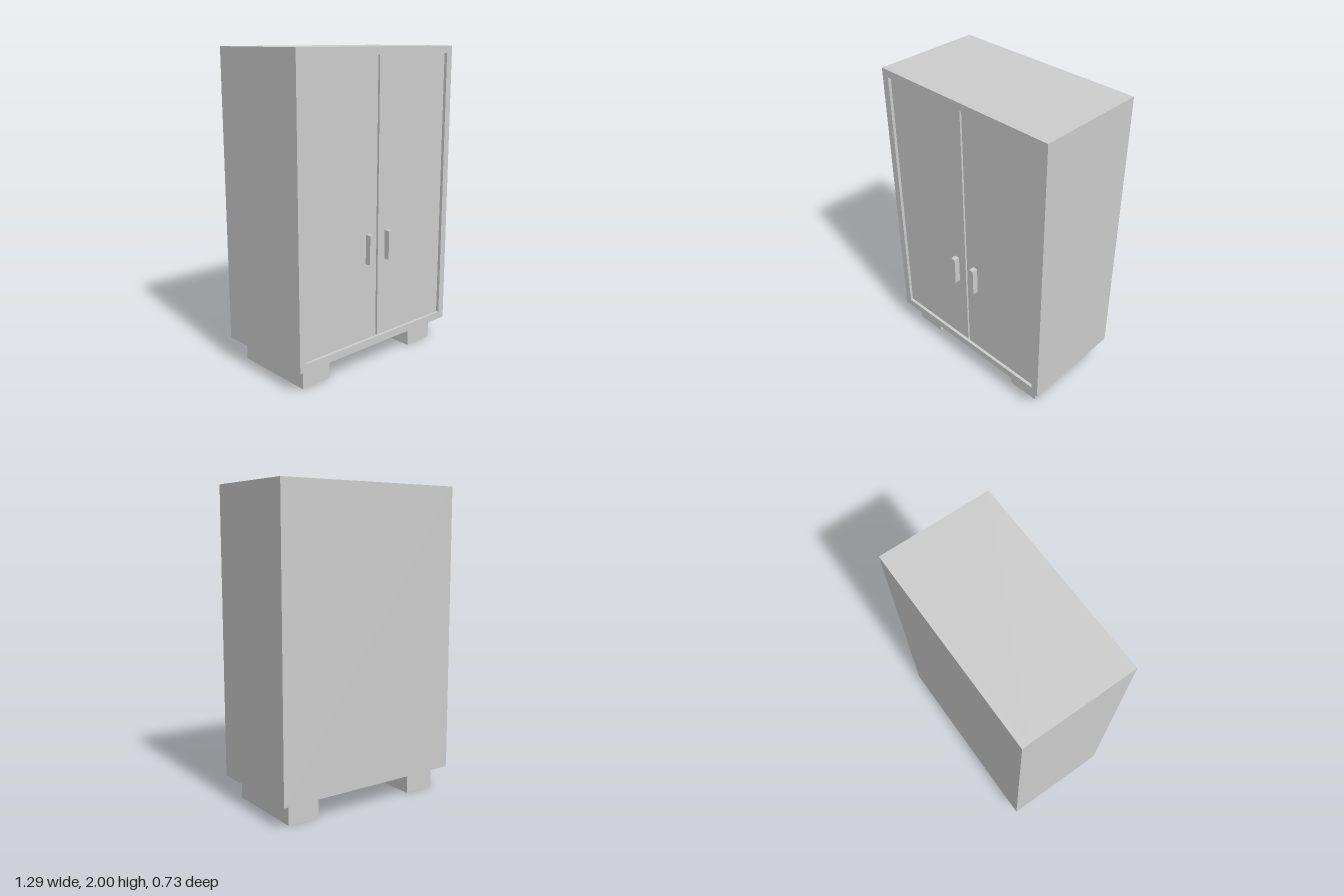
import * as THREE from 'three';

const material = new THREE.MeshStandardMaterial({ color: 0xcccccc, flatShading: true });

// Box given by its min and max corners
function box(name, [x0, y0, z0], [x1, y1, z1]) {
  const geometry = new THREE.BoxGeometry(x1 - x0, y1 - y0, z1 - z0);
  geometry.translate((x0 + x1) / 2, (y0 + y1) / 2, (z0 + z1) / 2);
  const mesh = new THREE.Mesh(geometry, material);
  mesh.name = name;
  return mesh;
}

function rectangle(path, x, y0, y1) {
  path.moveTo(-x, y0);
  path.lineTo(x, y0);
  path.lineTo(x, y1);
  path.lineTo(-x, y1);
  path.closePath();
  return path;
}

export function createModel() {
  const group = new THREE.Group();
  group.name = 'cabinet';

  const W = 0.643, H = 2, base = 0.147;       // carcass half width, top, underside
  const back = -0.364, front = 0.346;         // carcass depth
  const backThickness = 0.04;
  const inW = 0.595, inLow = 0.196, inHigh = 1.953; // door opening
  const doorFront = 0.326, doorBack = 0.29;

  // Carcass: top, bottom and sides as one hollow frame
  const outline = rectangle(new THREE.Shape(), W, base, H);
  outline.holes.push(rectangle(new THREE.Path(), inW, inLow, inHigh));
  const frameGeometry = new THREE.ExtrudeGeometry(outline, {
    depth: front - back - backThickness, bevelEnabled: false,
  });
  frameGeometry.translate(0, 0, back + backThickness);
  const frame = new THREE.Mesh(frameGeometry, material);
  frame.name = 'carcass';
  group.add(frame);

  group.add(box('backPanel', [-W, base, back], [W, H, back + backThickness]));

  // Doors, handles and feet, mirrored left and right
  for (const [side, s] of [['left', 1], ['right', -1]]) {
    const add = (part, xa, xb, y0, y1, z0, z1) => group.add(box(
      side + part,
      [Math.min(s * xa, s * xb), y0, z0],
      [Math.max(s * xa, s * xb), y1, z1],
    ));
    add('Door', 0.007, inW, inLow, inHigh, doorBack, doorFront);
    add('Handle', 0.066, 0.098, 0.693, 0.88, doorFront, 0.364);
    add('Foot', 0.357, 0.569, 0, base, -0.293, 0.278);
  }

  return group;
}
